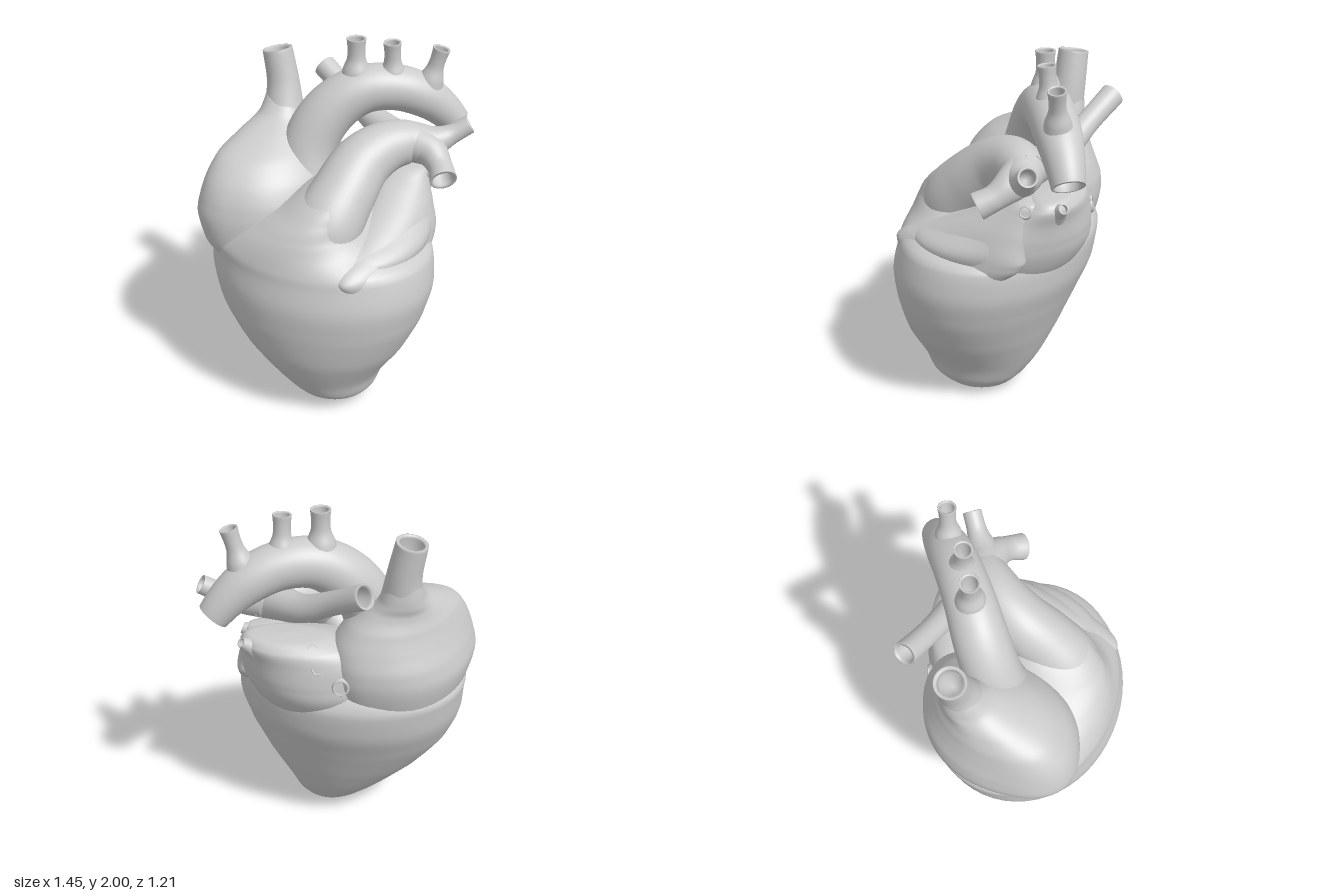
import * as THREE from 'three';

const SEG = 56;
const material = new THREE.MeshStandardMaterial({ color: 0xcccccc, side: THREE.DoubleSide });

// Skin a list of equally divided closed rows of points
function skin(name, rows) {
  const n = rows[0].length, pos = [], index = [];
  rows.forEach(row => row.forEach(p => pos.push(p.x, p.y, p.z)));
  for (let i = 0; i < rows.length - 1; i++) {
    for (let j = 0; j < n; j++) {
      const a = i * n + j, b = i * n + (j + 1) % n;
      index.push(a, a + n, b, b, a + n, b + n);
    }
  }
  const g = new THREE.BufferGeometry();
  g.setAttribute('position', new THREE.Float32BufferAttribute(pos, 3));
  g.setIndex(index);
  g.computeVertexNormals();
  const mesh = new THREE.Mesh(g, material);
  mesh.name = name;
  return mesh;
}

const spline = pts => new THREE.CatmullRomCurve3(pts.map(p => new THREE.Vector3(...p)));

// Chamber from horizontal ovals: [y, centre x, centre z, radius x, radius z, shear of x along z];
// a power below 1 makes the ovals squarer
function chamber(name, rings, power = 1) {
  const centre = spline(rings.map(r => [r[1], r[0], r[2]]));
  const shape = spline(rings.map(r => r.slice(3)));
  const rows = [], steps = (rings.length - 1) * 6;
  const soft = v => Math.sign(v) * Math.abs(v) ** power;
  for (let i = 0; i <= steps; i++) {
    const c = centre.getPoint(i / steps), s = shape.getPoint(i / steps);
    const row = [];
    for (let j = 0; j < SEG; j++) {
      const a = j / SEG * Math.PI * 2;
      const dz = Math.max(0, s.y) * soft(Math.sin(a));
      row.push(new THREE.Vector3(
        c.x + Math.max(0, s.x) * soft(Math.cos(a)) + s.z * dz, c.y, c.z + dz));
    }
    rows.push(row);
  }
  return skin(name, rows);
}

// Vessel along [x, y, z, radius] points; an open end gets a rim and an inner wall
function vessel(name, pts, open = true, seg = 28) {
  const path = spline(pts.map(p => p.slice(0, 3)));
  const radius = spline(pts.map((p, i) => [p[3], i, 0]));
  const steps = 36, frames = path.computeFrenetFrames(steps);
  const ring = (i, scale) => {
    const t = path.getUtoTmapping(i / steps), c = path.getPoint(t);
    const r = radius.getPoint(t).x * scale, row = [];
    for (let j = 0; j < seg; j++) {
      const a = j / seg * Math.PI * 2;
      row.push(c.clone()
        .addScaledVector(frames.normals[i], r * Math.cos(a))
        .addScaledVector(frames.binormals[i], -r * Math.sin(a)));
    }
    return row;
  };
  const rows = [ring(0, 0)];
  for (let i = 0; i <= steps; i++) rows.push(ring(i, 1));
  if (open) {
    const depth = Math.min(steps - 2, Math.ceil(steps * 0.12 / path.getLength()));
    rows.push(ring(steps, 0.97), ring(steps, 0.8), ring(steps - 1, 0.78));
    rows.push(ring(steps - depth, 0.78), ring(steps - depth, 0));
  } else rows.push(ring(steps, 0));
  return skin(name, rows);
}

export function createModel() {
  const heart = new THREE.Group();
  heart.name = 'heart';

  // Ventricles, narrowing upward into the root of the pulmonary trunk
  heart.add(chamber('ventricles', [
    [0, 0.08, 0.11, 0, 0, 0],
    [0.008, 0.08, 0.11, 0.09, 0.11, 0],
    [0.04, 0.075, 0.12, 0.175, 0.195, 0],
    [0.1, 0.06, 0.13, 0.24, 0.27, 0],
    [0.2, 0.025, 0.12, 0.315, 0.335, 0],
    [0.4, -0.01, 0.113, 0.475, 0.433, 0.08],
    [0.6, -0.03, 0.09, 0.585, 0.498, 0.13],
    [0.8, -0.037, 0.055, 0.632, 0.54, 0.15],
    [0.95, -0.055, 0.03, 0.625, 0.532, 0.15],
    [1.05, -0.11, 0.04, 0.46, 0.48, 0.12],
    [1.13, -0.09, 0.1, 0.32, 0.385, 0.1],
    [1.21, -0.02, 0.15, 0.215, 0.285, 0.05],
    [1.3, 0.06, 0.13, 0.165, 0.215, 0],
    [1.36, 0.1, 0.08, 0.11, 0.14, 0],
    [1.38, 0.1, 0.08, 0, 0, 0],
  ]));

  // Atria and the ear-like lobe of the left one
  heart.add(chamber('rightAtrium', [
    [0.8, -0.33, -0.05, 0, 0, -0.2],
    [0.85, -0.33, -0.05, 0.28, 0.33, -0.2],
    [0.95, -0.33, -0.06, 0.343, 0.4, -0.22],
    [1.1, -0.34, -0.08, 0.363, 0.42, -0.25],
    [1.2, -0.335, -0.09, 0.345, 0.41, -0.27],
    [1.3, -0.33, -0.1, 0.31, 0.37, -0.32],
    [1.4, -0.34, -0.13, 0.25, 0.3, -0.35],
    [1.48, -0.34, -0.19, 0.18, 0.2, -0.3],
    [1.55, -0.34, -0.255, 0.12, 0.13, -0.1],
    [1.65, -0.345, -0.29, 0.085, 0.085, 0],
  ], 0.87));
  heart.add(chamber('leftAtrium', [
    [0.8, 0.1, 0, 0, 0, 0],
    [0.86, 0.1, 0, 0.38, 0.4, 0],
    [1.0, 0.1, 0, 0.452, 0.49, 0],
    [1.1, 0.12, -0.1, 0.42, 0.4, 0],
    [1.2, 0.14, -0.22, 0.37, 0.27, 0],
    [1.28, 0.2, -0.3, 0.3, 0.175, 0],
    [1.325, 0.25, -0.32, 0.2, 0.1, 0],
    [1.335, 0.25, -0.32, 0, 0, 0],
  ]));
  heart.add(chamber('leftAtrialAppendage', [
    [0.82, 0.36, 0.2, 0, 0, -0.4],
    [0.85, 0.36, 0.2, 0.11, 0.29, -0.4],
    [0.9, 0.355, 0.2, 0.14, 0.335, -0.4],
    [0.96, 0.352, 0.175, 0.15, 0.375, -0.4],
    [1.0, 0.355, 0.14, 0.152, 0.365, -0.4],
    [1.06, 0.365, 0.07, 0.15, 0.3, -0.4],
    [1.15, 0.37, -0.05, 0.15, 0.22, -0.3],
    [1.25, 0.37, -0.16, 0.13, 0.13, -0.2],
    [1.31, 0.38, -0.22, 0.09, 0.07, 0],
    [1.32, 0.38, -0.22, 0, 0, 0],
  ]));

  // Aorta with its three upper branches
  heart.add(vessel('aorta', [
    [-0.15, 1.1, -0.02, 0.14], [-0.155, 1.4, -0.12, 0.15], [-0.05, 1.6, -0.185, 0.145],
    [0.11, 1.71, -0.245, 0.133], [0.28, 1.715, -0.31, 0.125], [0.42, 1.66, -0.37, 0.118],
    [0.53, 1.57, -0.42, 0.1], [0.6, 1.485, -0.45, 0.085],
  ], true, 40));
  const archBranches = [
    [[0.08, 1.72, -0.24], [0.08, 2.0, -0.235], 0.05],
    [[0.27, 1.71, -0.3], [0.265, 1.98, -0.275], 0.046],
    [[0.44, 1.66, -0.37], [0.515, 1.935, -0.37], 0.045],
  ];
  archBranches.forEach(([a, b, r]) => {
    const at = (t, k) => [0, 1, 2].map(i => a[i] + (b[i] - a[i]) * t).concat(r * k);
    heart.add(vessel('archBranch', [at(0, 2), at(0.4, 1.45), at(0.6, 1.02), at(0.8, 0.95), at(1, 1.05)]));
  });

  // Great vein entering the right atrium
  heart.add(vessel('superiorVenaCava', [
    [-0.33, 1.42, -0.24, 0.14], [-0.335, 1.56, -0.27, 0.11], [-0.345, 1.7, -0.295, 0.09],
    [-0.378, 1.88, -0.31, 0.082],
  ]));

  // Pulmonary trunk and arteries
  heart.add(vessel('pulmonaryTrunk', [
    [0, 1.0, 0.28, 0.17], [0.035, 1.12, 0.25, 0.19], [0.095, 1.26, 0.14, 0.175],
    [0.17, 1.39, -0.01, 0.158], [0.28, 1.45, -0.12, 0.138], [0.39, 1.46, -0.18, 0.118],
    [0.49, 1.45, -0.19, 0.085],
  ], false, 40));
  heart.add(vessel('leftPulmonaryArteryUpper', [
    [0.4, 1.46, -0.19, 0.11], [0.51, 1.465, -0.205, 0.088], [0.61, 1.505, -0.24, 0.055], [0.7, 1.56, -0.27, 0.05],
  ]));
  heart.add(vessel('leftPulmonaryArteryLower', [
    [0.4, 1.46, -0.19, 0.11], [0.51, 1.435, -0.15, 0.09], [0.575, 1.385, -0.08, 0.068], [0.61, 1.345, 0, 0.073],
  ]));
  heart.add(vessel('rightPulmonaryArtery', [
    [0.34, 1.45, -0.2, 0.1], [0.16, 1.5, -0.35, 0.075], [-0.01, 1.6, -0.45, 0.062], [-0.175, 1.705, -0.555, 0.065],
  ]));

  // Short vein stubs on the atria
  const stubs = [
    ['pulmonaryVein', [0.42, 1.25, -0.22], [0.505, 1.285, -0.22], 0.03],
    ['pulmonaryVein', [0.41, 1.25, -0.36], [0.475, 1.31, -0.41], 0.027],
    ['pulmonaryVein', [0.13, 1.23, -0.34], [0.1, 1.3, -0.43], 0.032],
    ['pulmonaryVein', [0.09, 1.18, -0.39], [0.07, 1.22, -0.48], 0.03],
    ['inferiorVenaCava', [-0.04, 1.1, -0.39], [-0.05, 1.12, -0.49], 0.042],
  ];
  stubs.forEach(([name, a, b, r]) => {
    const mid = a.map((v, i) => (v + b[i]) / 2);
    heart.add(vessel(name, [[...a, r * 2.2], [...mid, r * 1.5], [...b, r]], true, 20));
  });

  return heart;
}
